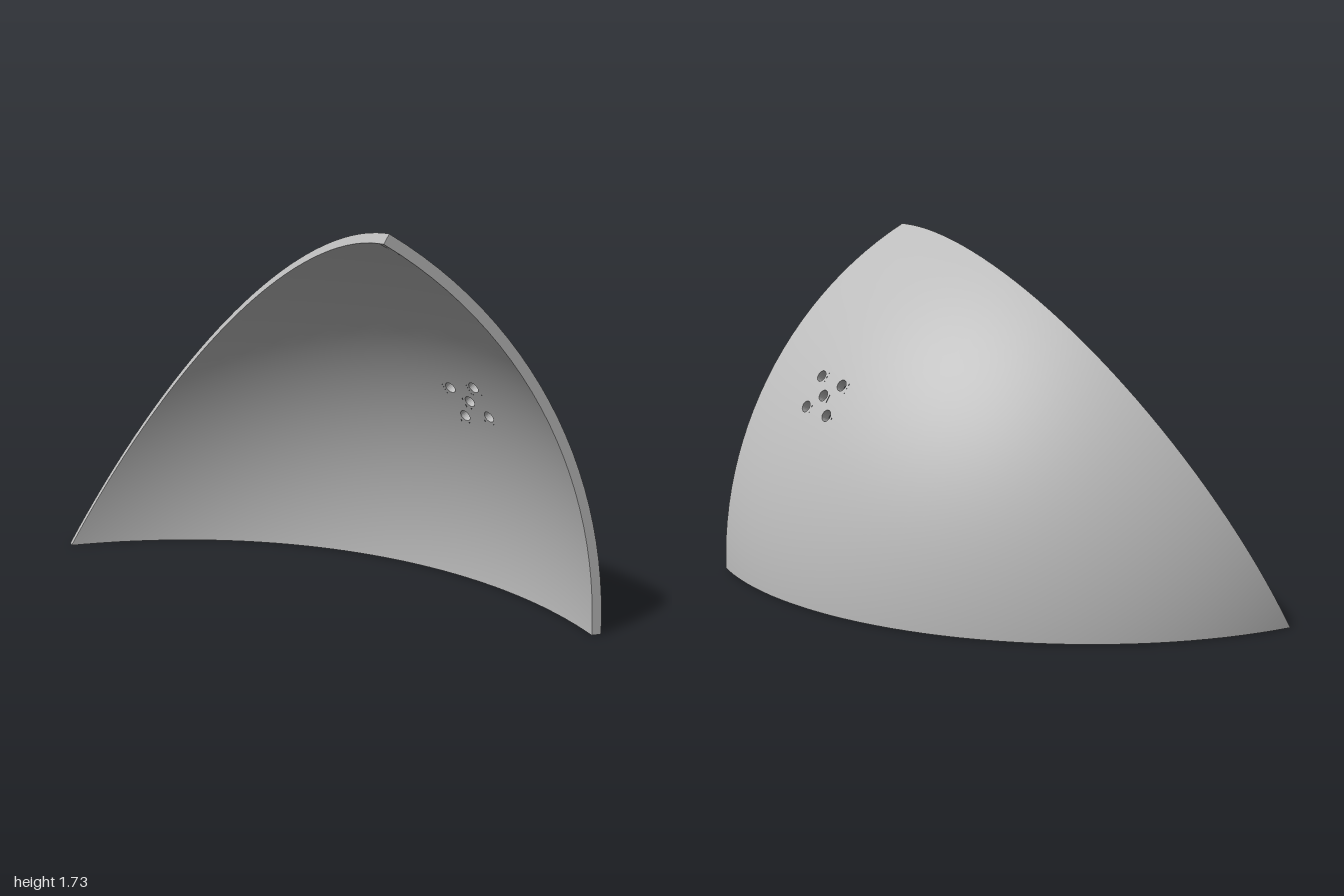
import * as THREE from 'three';

const R_OUT = 2, R_IN = 1.955;          // shell radii
const COLS = 25, SWEEP = 60;            // wedge angle around the z axis
const HOLE = 0.8, SEGS = 24;            // hole radius in degrees, sides
const rad = THREE.MathUtils.degToRad;

// grid lines in degrees; a narrow first row centres the holes in their cells
const thetas = Array.from({ length: COLS + 1 }, (_, i) => (i * SWEEP) / COLS);
const lats = [0, ...Array.from({ length: 38 }, (_, i) => 1.3 + (i * 88.7) / 37)];

// cells (row, column) holding a hole: a five-spot pattern
const holes = [[7, 12], [6, 11], [6, 13], [8, 11], [8, 13]];

// unit direction from the sphere centre
function dir(lat, theta) {
  const a = rad(lat), t = rad(theta);
  return new THREE.Vector3(Math.cos(a) * Math.cos(t), Math.cos(a) * Math.sin(t), -Math.sin(a));
}

const at = (d, r) => [d.x * r - 1, d.y * r, d.z * r + 1];

// points round a cell: its square border, or the circle inside it
function cellLoop([row, col], circle) {
  const lat = (lats[row] + lats[row + 1]) / 2, theta = (thetas[col] + thetas[col + 1]) / 2;
  const halfLat = (lats[row + 1] - lats[row]) / 2, halfTheta = SWEEP / COLS / 2;
  return Array.from({ length: SEGS + 1 }, (_, i) => {
    const a = (i / SEGS) * Math.PI * 2, c = Math.cos(a), s = Math.sin(a);
    if (circle) return dir(lat + HOLE * c, theta + (HOLE * s) / Math.cos(rad(lat)));
    const k = 1 / Math.max(Math.abs(c), Math.abs(s));
    return dir(lat + halfLat * c * k, theta + halfTheta * s * k);
  });
}

// curved skin of the wedge with round openings
function skin(radius, inward) {
  const pos = [], nor = [];
  const quad = (a, b, c, d) => {
    const tris = inward ? [a, c, b, a, d, c] : [a, b, c, a, c, d];
    for (const p of tris) {
      pos.push(...at(p, radius));
      nor.push(...at(p, inward ? -1 : 1).map((v, i) => v + [1, 0, -1][i]));
    }
  };
  for (let r = 0; r < lats.length - 1; r++) {
    for (let c = 0; c < COLS; c++) {
      if (holes.some(([hr, hc]) => hr === r && hc === c)) {
        const sq = cellLoop([r, c], false), ci = cellLoop([r, c], true);
        for (let i = 0; i < SEGS; i++) quad(ci[i], sq[i], sq[i + 1], ci[i + 1]);
      } else {
        quad(dir(lats[r], thetas[c]), dir(lats[r + 1], thetas[c]),
          dir(lats[r + 1], thetas[c + 1]), dir(lats[r], thetas[c + 1]));
      }
    }
  }
  const g = new THREE.BufferGeometry();
  g.setAttribute('position', new THREE.Float32BufferAttribute(pos, 3));
  g.setAttribute('normal', new THREE.Float32BufferAttribute(nor, 3));
  return g;
}

// radial wall joining the outer and inner skins along a path
function wall(path) {
  const pos = [];
  for (let i = 0; i < path.length - 1; i++) {
    const p0 = at(path[i], R_OUT), p1 = at(path[i + 1], R_OUT);
    const q0 = at(path[i], R_IN), q1 = at(path[i + 1], R_IN);
    pos.push(...p0, ...q0, ...q1, ...p0, ...q1, ...p1);
  }
  const g = new THREE.BufferGeometry();
  g.setAttribute('position', new THREE.Float32BufferAttribute(pos, 3));
  g.computeVertexNormals();
  return g;
}

export function createModel() {
  const group = new THREE.Group();
  group.name = 'domeSegment';
  const grey = new THREE.MeshStandardMaterial({ color: 0xbcbcbc });
  grey.name = 'shell grey';
  const add = (name, geometry) => {
    const mesh = new THREE.Mesh(geometry, grey);
    mesh.name = name;
    group.add(mesh);
  };

  // curved skins
  add('outerSkin', skin(R_OUT, false));
  add('innerSkin', skin(R_IN, true));

  // flat rims on the three borders
  add('bottomRim', wall(lats.map((l) => dir(l, 0))));
  add('upperRim', wall(lats.map((l) => dir(l, SWEEP)).reverse()));
  add('frontRim', wall(thetas.map((t) => dir(0, t)).reverse()));

  // bores of the drilled holes
  holes.forEach((cell, i) => add(`holeBore${i + 1}`, wall(cellLoop(cell, true).reverse())));

  return group;
}
